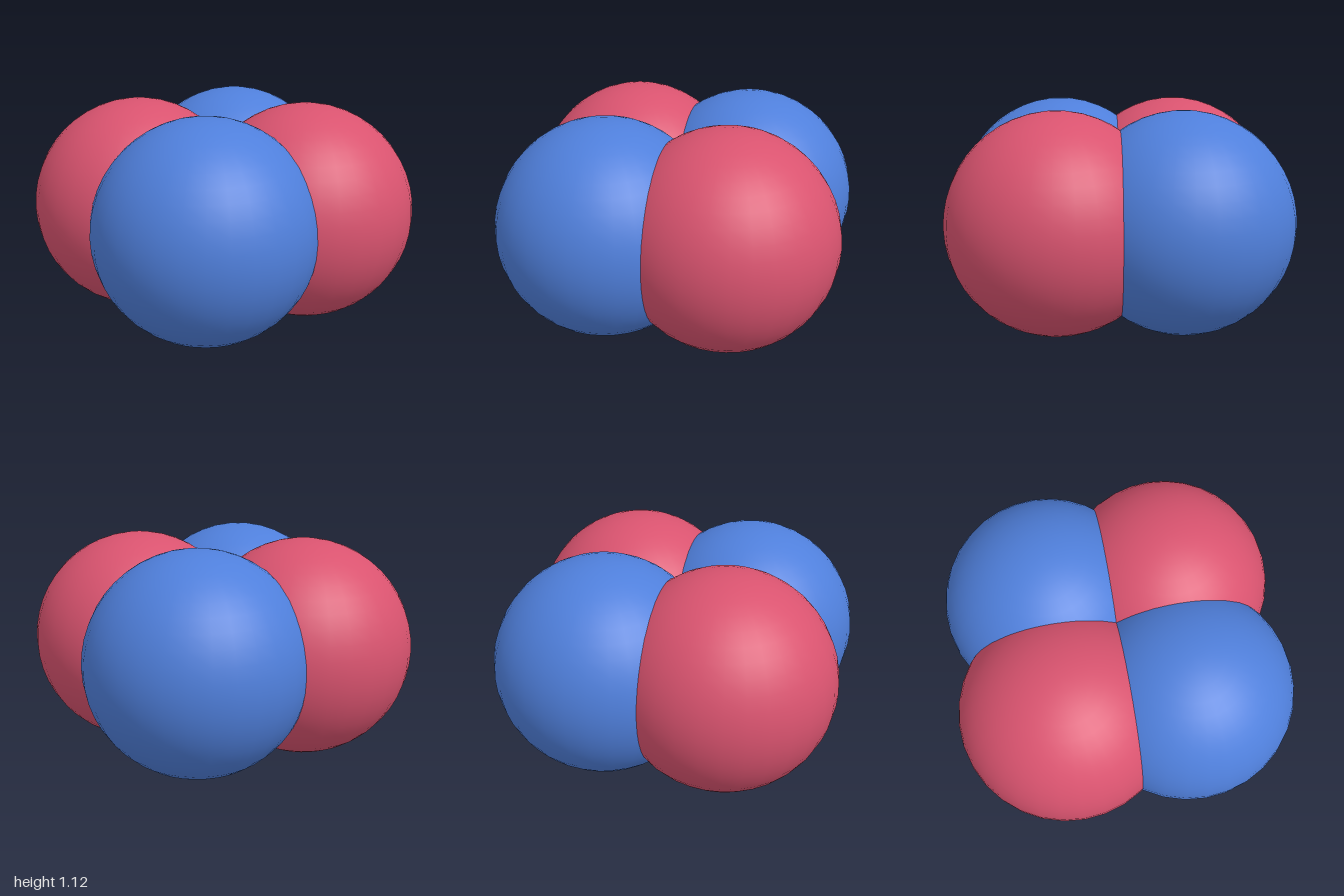
import * as THREE from 'three';

const RADIUS = 0.558;
const OFFSET = 0.442;

export function createModel() {
  const model = new THREE.Group();
  model.name = 'sphereCluster';

  const red = new THREE.MeshStandardMaterial({ color: 0xd9536f });
  red.name = 'rose red';
  const blue = new THREE.MeshStandardMaterial({ color: 0x4f7fdb });
  blue.name = 'mid blue';

  const ball = new THREE.SphereGeometry(RADIUS, 32, 24);

  // Four overlapping balls around the centre, alternating in colour
  const balls = [
    ['leftBall', 1, 0, red],
    ['frontBall', 0, 1, blue],
    ['rightBall', -1, 0, red],
    ['backBall', 0, -1, blue],
  ];
  for (const [name, x, z, material] of balls) {
    const mesh = new THREE.Mesh(ball, material);
    mesh.name = name;
    mesh.position.set(x * OFFSET, RADIUS, z * OFFSET);
    model.add(mesh);
  }
  return model;
}
